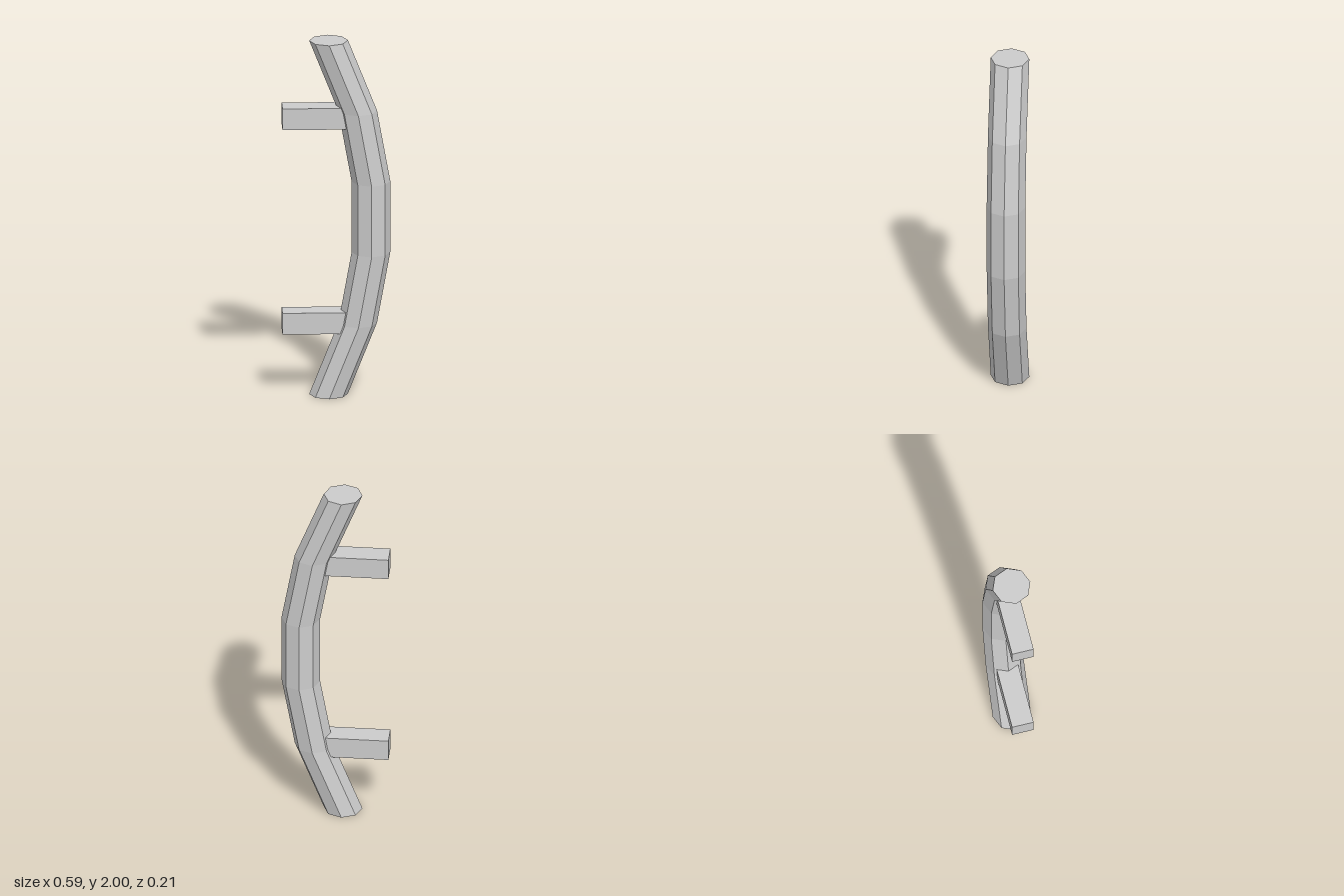
import * as THREE from 'three';

const material = new THREE.MeshStandardMaterial({ color: 0xcccccc, flatShading: true });

// Octagonal bar, each ring shifted sideways to form the bow
function bowedBar() {
  const radius = 0.105, height = 2;
  const ringX = [-0.043, 0.115, 0.187, 0.187, 0.115, -0.043];
  const segments = ringX.length - 1;
  const geometry = new THREE.CylinderGeometry(radius, radius, height, 8, segments);
  geometry.translate(0, height / 2, 0);
  const pos = geometry.attributes.position;
  for (let i = 0; i < pos.count; i++) {
    const ring = Math.round((pos.getY(i) / height) * segments);
    pos.setX(i, pos.getX(i) + ringX[ring]);
  }
  geometry.computeVertexNormals();
  const bar = new THREE.Mesh(geometry, material);
  bar.name = 'gripBar';
  return bar;
}

// Square post running from the mounting side into the bar
function mountingPost(name, y) {
  const x0 = -0.295, x1 = 0.1, thickness = 0.12;
  const post = new THREE.Mesh(new THREE.BoxGeometry(x1 - x0, thickness, thickness), material);
  post.position.set((x0 + x1) / 2, y, 0);
  post.name = name;
  return post;
}

export function createModel() {
  const group = new THREE.Group();
  group.name = 'pullHandle';
  group.add(
    bowedBar(),
    mountingPost('upperPost', 1.572),
    mountingPost('lowerPost', 0.415)
  );
  return group;
}
